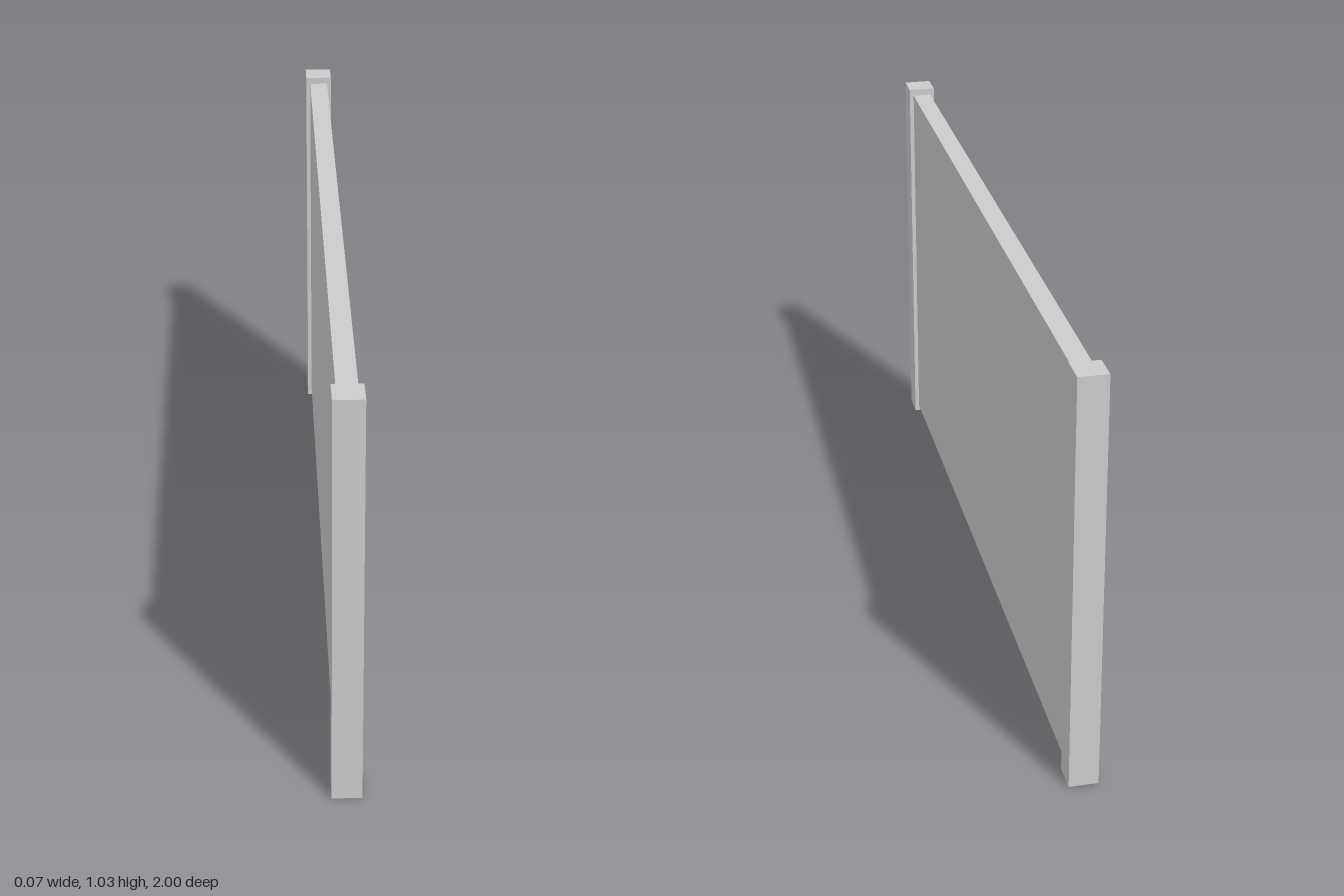
import * as THREE from 'three';

export function createModel() {
  const group = new THREE.Group();
  const material = new THREE.MeshStandardMaterial({ color: 0xcccccc, flatShading: true });

  // Adds a box centred on x = 0, spanning bottom..top in height
  function addBox(name, width, depth, bottom, top, z) {
    const mesh = new THREE.Mesh(new THREE.BoxGeometry(width, top - bottom, depth), material);
    mesh.name = name;
    mesh.position.set(0, (bottom + top) / 2, z);
    group.add(mesh);
  }

  // Square end posts
  const post = 0.07, postHeight = 1.03;
  addBox('frontPost', post, post, 0, postHeight, 1 - post / 2);
  addBox('backPost', post, post, 0, postHeight, -1 + post / 2);

  // Solid panel between the posts, raised slightly off the floor
  addBox('panel', 0.048, 2 - 2 * post, 0.016, 1.012, 0);

  return group;
}
